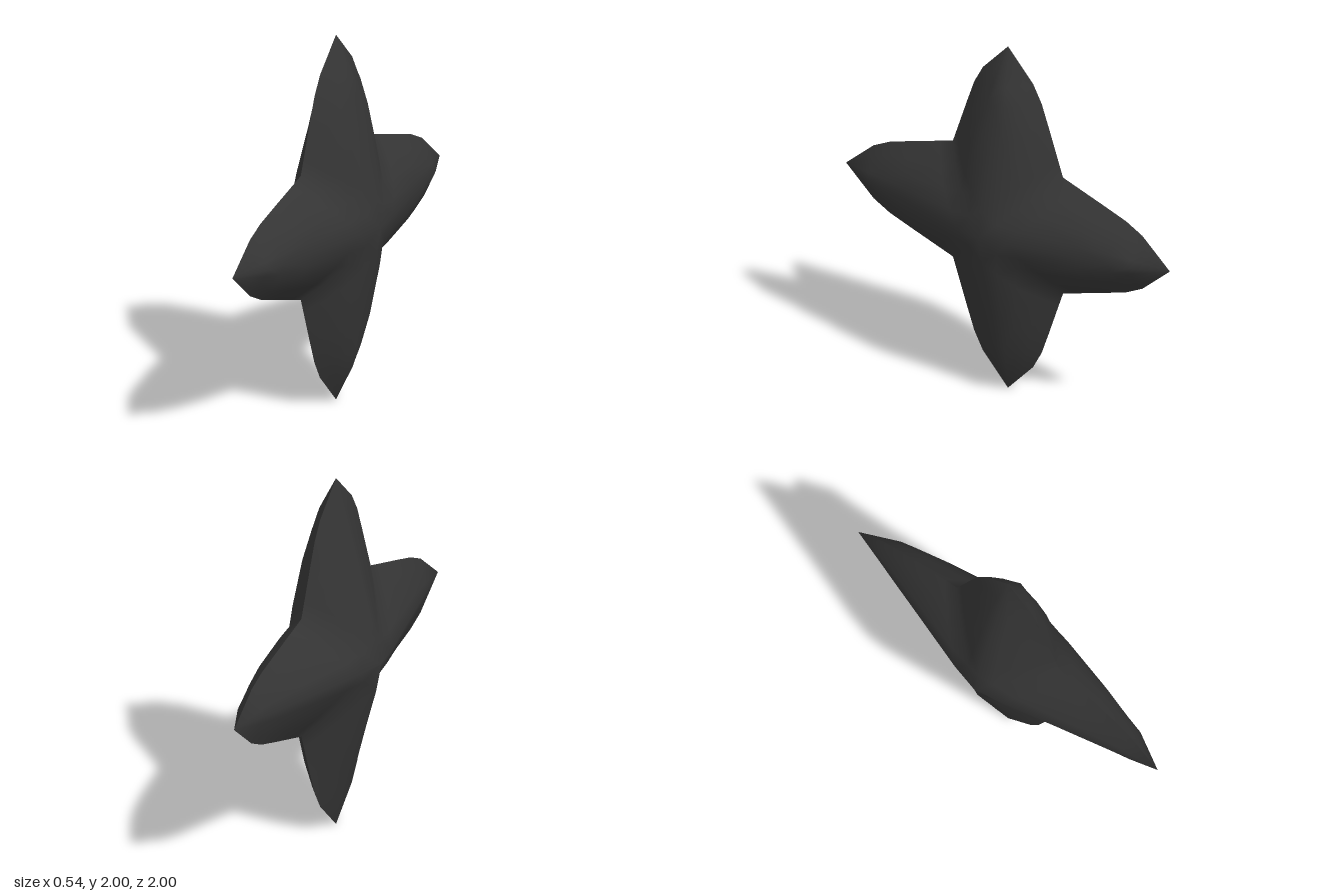
import * as THREE from 'three';
import { toCreasedNormals } from 'three/addons/utils/BufferGeometryUtils.js';

// Cross-sections of half an arm, from the centre to the tip:
// ridge distance, outline point [distance, half-width],
// then ridge height and bulge for the left and the right face
const sections = [
  { ridge: 0, edge: [0.34, 0.34], left: [0.27, 0.04], right: [0.27, 0.015] },
  { ridge: 0.15, edge: [0.42, 0.313], left: [0.243, 0.043], right: [0.24, 0.015] },
  { ridge: 0.5, edge: [0.6, 0.253], left: [0.16, 0.044], right: [0.141, 0.01] },
  { ridge: 0.7, edge: [0.73, 0.208], left: [0.12, 0.025], right: [0.085, 0.005] },
  { ridge: 0.8, edge: [0.83, 0.155], left: [0.1, 0.005], right: [0.056, 0.003] },
  { ridge: 1, edge: [1, 0], left: [0, 0], right: [0, 0] },
];
const columns = 4;

// Points across one section, curving from the ridge down to the outline
function sectionPoints(section, side, half) {
  const [height, bulge] = side > 0 ? section.left : section.right;
  const [reach, width] = section.edge;
  return Array.from({ length: columns + 1 }, (_, j) => {
    const t = j / columns;
    const x = height * (1 - t) + bulge * 4 * t * (1 - t);
    return new THREE.Vector3(x * side, section.ridge + (reach - section.ridge) * t, width * t * half);
  });
}

function starGeometry() {
  const positions = [];
  const xAxis = new THREE.Vector3(1, 0, 0);
  for (let arm = 0; arm < 4; arm++) {
    for (const side of [1, -1]) {
      for (const half of [1, -1]) {
        const addTriangle = (a, b, c) => {
          const corners = side * half > 0 ? [a, b, c] : [a, c, b];
          for (const corner of corners) {
            const p = corner.clone().applyAxisAngle(xAxis, (arm * Math.PI) / 2);
            positions.push(p.x, p.y + 1, p.z);
          }
        };
        for (let i = 0; i < sections.length - 1; i++) {
          const a = sectionPoints(sections[i], side, half);
          const b = sectionPoints(sections[i + 1], side, half);
          for (let j = 0; j < columns; j++) {
            addTriangle(a[j], b[j], a[j + 1]);
            // the last section closes to a point
            if (i < sections.length - 2) addTriangle(b[j], b[j + 1], a[j + 1]);
          }
        }
      }
    }
  }
  const geometry = new THREE.BufferGeometry();
  geometry.setAttribute('position', new THREE.Float32BufferAttribute(positions, 3));
  return toCreasedNormals(geometry, 0.9);
}

export function createModel() {
  const group = new THREE.Group();
  group.name = 'fourPointedStar';
  const star = new THREE.Mesh(
    starGeometry(),
    new THREE.MeshStandardMaterial({ color: 0x353535 })
  );
  star.name = 'starBody';
  group.add(star);
  return group;
}
